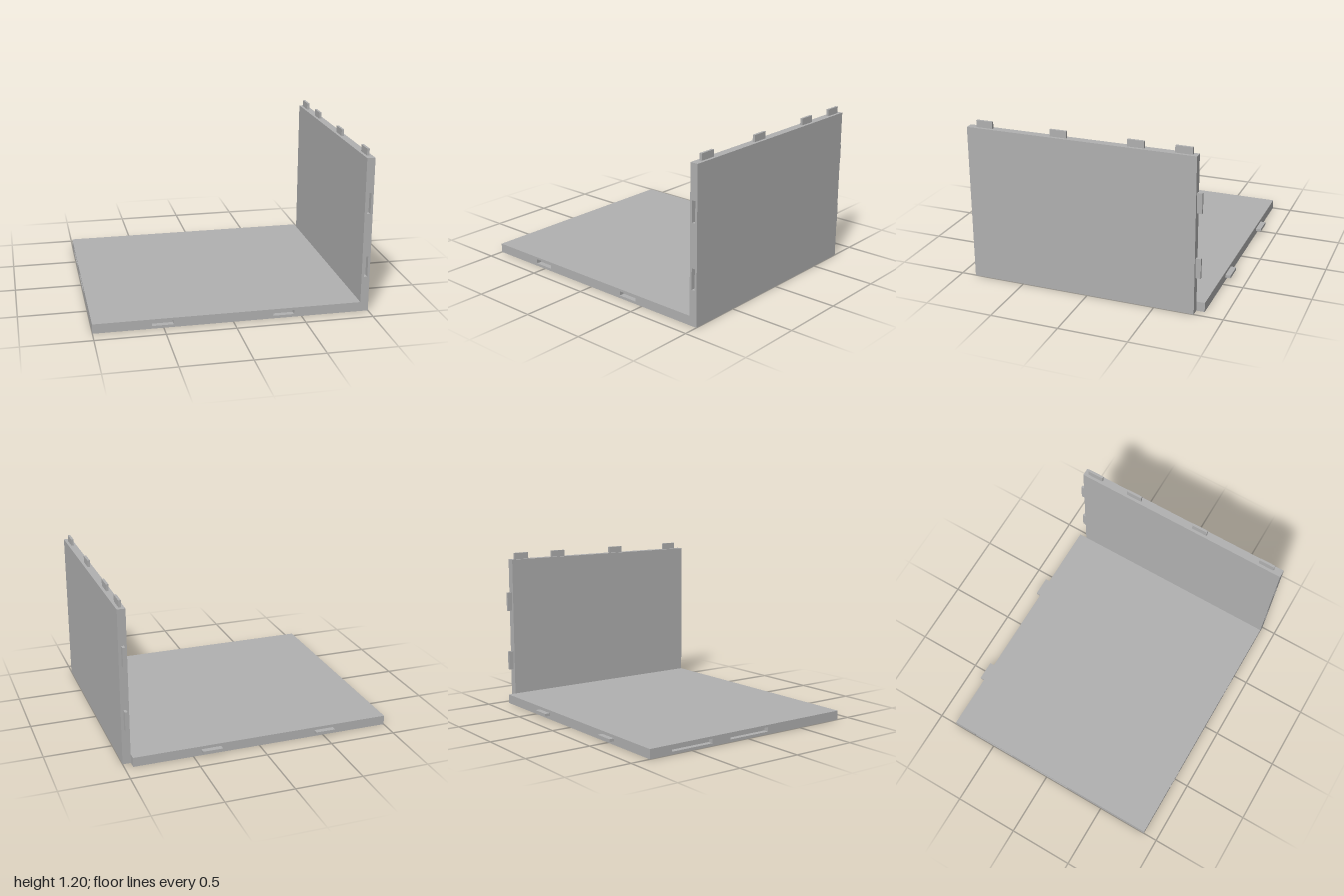
import * as THREE from 'three';

export function createModel() {
  const model = new THREE.Group();
  const gray = new THREE.MeshStandardMaterial({ color: 0xb0b0b0 });
  gray.name = 'plain gray';

  const add = (name, geometry) => {
    const mesh = new THREE.Mesh(geometry, gray);
    mesh.name = name;
    model.add(mesh);
    return mesh;
  };

  // Box given by its lower and upper limits
  const box = (name, x0, x1, y0, y1, z0, z1) =>
    add(name, new THREE.BoxGeometry(x1 - x0, y1 - y0, z1 - z0))
      .position.set((x0 + x1) / 2, (y0 + y1) / 2, (z0 + z1) / 2);

  // Edge strip: an outline pierced by rectangular slots
  const slottedStrip = (name, outline, slots, depth) => {
    const shape = new THREE.Shape(outline.map(([u, v]) => new THREE.Vector2(u, v)));
    for (const [u0, u1, v0, v1] of slots) {
      shape.holes.push(new THREE.Path([[u0, v0], [u0, v1], [u1, v1], [u1, v0]]
        .map(([u, v]) => new THREE.Vector2(u, v))));
    }
    return add(name, new THREE.ExtrudeGeometry(shape, { depth, bevelEnabled: false }));
  };

  const floorTop = 0.07, wallTop = 1.15, wallIn = 0.94;
  const back = -0.85, wallBack = -0.79, front = 0.89, slotDepth = 0.04;
  const frontCore = front - slotDepth;

  // Solid bodies of the floor and the wall
  box('floorPanel', -0.96, wallIn, 0, floorTop, back, frontCore);
  box('wallPanel', wallIn, 1, 0, wallTop, wallBack, frontCore);

  // Front edge of both panels with slots
  slottedStrip('frontSlottedEdge',
    [[-1, 0], [1, 0], [1, wallTop], [wallIn, wallTop], [wallIn, floorTop], [-1, floorTop]],
    [[-0.585, -0.43, 0.02, 0.053], [0.29, 0.445, 0.02, 0.053],
      [0.957, 0.983, 0.265, 0.42], [0.957, 0.983, 0.74, 0.895]],
    slotDepth).position.z = frontCore;

  // Outer floor edge with two long slots
  const sideEdge = slottedStrip('sideSlottedEdge',
    [[back, 0], [frontCore, 0], [frontCore, floorTop], [back, floorTop]],
    [[-0.67, -0.32, 0.02, 0.053], [-0.16, 0.19, 0.02, 0.053]], slotDepth);
  sideEdge.rotation.y = -Math.PI / 2;
  sideEdge.position.x = -0.96;

  // Tabs on the back of the floor
  for (const x of [-0.505, 0.367]) box('floorTab', x - 0.074, x + 0.074, 0.027, 0.048, -0.89, back);

  // Tabs on the back of the wall
  for (const y of [0.341, 0.816]) box('wallBackTab', 0.96, 0.98, y - 0.073, y + 0.073, -0.827, wallBack);

  // Tabs along the top of the wall
  for (const z of [0.763, 0.203, -0.358, -0.695]) {
    box('wallTopTab', 0.961, 0.979, wallTop, 1.2, z - 0.061, z + 0.061);
  }

  return model;
}
